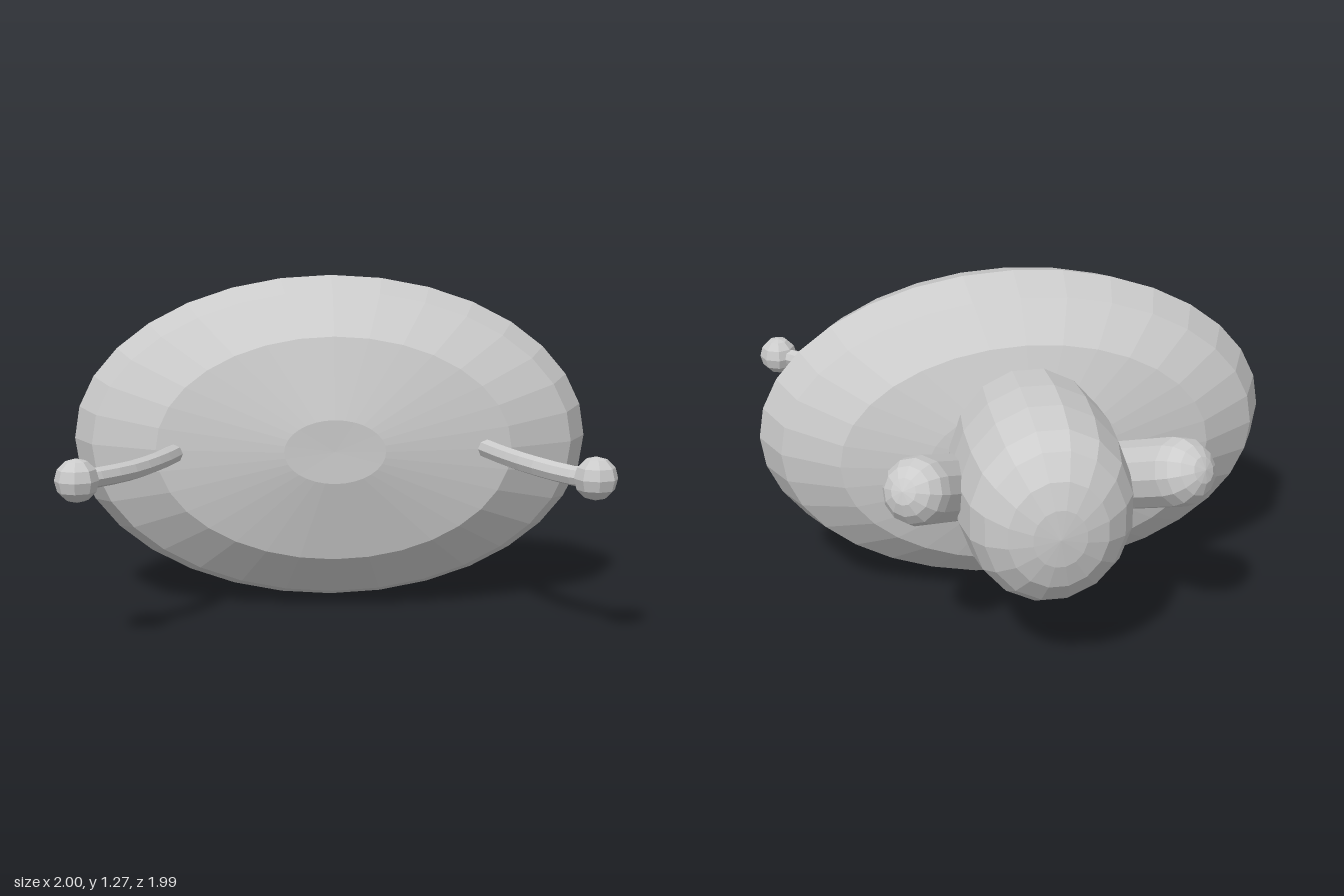
import * as THREE from 'three';

const material = new THREE.MeshStandardMaterial({ color: 0xcccccc, flatShading: true });
const vec = (p) => new THREE.Vector3(...p);

function add(parent, name, geometry) {
  const mesh = new THREE.Mesh(geometry, material);
  mesh.name = name;
  parent.add(mesh);
  return mesh;
}

// Elliptical lathe lying along z; profile is [radius, z] from back to front
function zLathe(profile, segments, phase, rx, ry) {
  const points = profile.map(([r, z]) => new THREE.Vector2(r, z));
  return new THREE.LatheGeometry(points, segments, phase).scale(rx, 1, ry).rotateX(Math.PI / 2);
}

// Rounded stub between two cap centres
function addFoot(parent, name, from, to, radius) {
  const a = vec(from), b = vec(to);
  const axis = b.clone().sub(a);
  const foot = add(parent, name, new THREE.CapsuleGeometry(radius, axis.length(), 4, 12, 3));
  foot.position.copy(a).add(b).multiplyScalar(0.5);
  foot.quaternion.setFromUnitVectors(new THREE.Vector3(0, 1, 0), axis.normalize());
}

// Bent stalk with a ball on its end
function addAntenna(parent, name, path) {
  const antenna = new THREE.Group();
  antenna.name = name;
  const curve = new THREE.CatmullRomCurve3(path.map(vec));
  add(antenna, 'stalk', new THREE.TubeGeometry(curve, 8, 0.036, 8));
  add(antenna, 'ball', new THREE.SphereGeometry(0.078, 8, 6)).position.copy(vec(path[path.length - 1]));
  parent.add(antenna);
}

export function createModel() {
  const model = new THREE.Group();
  model.name = 'creature';

  // Wide flattened head with a nearly flat face
  const head = zLathe([
    [0, -0.37], [0.2, -0.365], [0.385, -0.345], [0.71, -0.275], [0.925, -0.13],
    [1, 0.04], [0.92, 0.21], [0.67, 0.355], [0.19, 0.432], [0, 0.428],
  ], 32, 0, 1, 0.633);
  add(model, 'head', head).position.y = 0.635;

  // Rounded body behind the head
  const body = zLathe([
    [0, -1], [0.3, -0.99], [0.56, -0.96], [0.79, -0.895], [0.92, -0.82],
    [0.99, -0.67], [1, -0.5], [0.95, -0.31], [0.9, -0.2], [0, -0.2],
  ], 16, Math.PI / 16, 0.326, 0.376);
  add(model, 'body', body).position.y = 0.65;

  // Feet splayed to each side of the body
  addFoot(model, 'leftFoot', [0.277, 0.6, -0.44], [0.464, 0.74, -0.715], 0.128);
  addFoot(model, 'rightFoot', [-0.29, 0.6, -0.44], [-0.488, 0.74, -0.72], 0.13);

  // Antennae curving outward from the face
  addAntenna(model, 'leftAntenna', [
    [0.56, 0.635, 0.32], [0.63, 0.63, 0.53], [0.71, 0.625, 0.71], [0.82, 0.615, 0.855], [0.888, 0.615, 0.91],
  ]);
  addAntenna(model, 'rightAntenna', [
    [-0.59, 0.622, 0.32], [-0.655, 0.622, 0.53], [-0.74, 0.62, 0.71], [-0.85, 0.62, 0.85], [-0.913, 0.62, 0.905],
  ]);

  return model;
}
